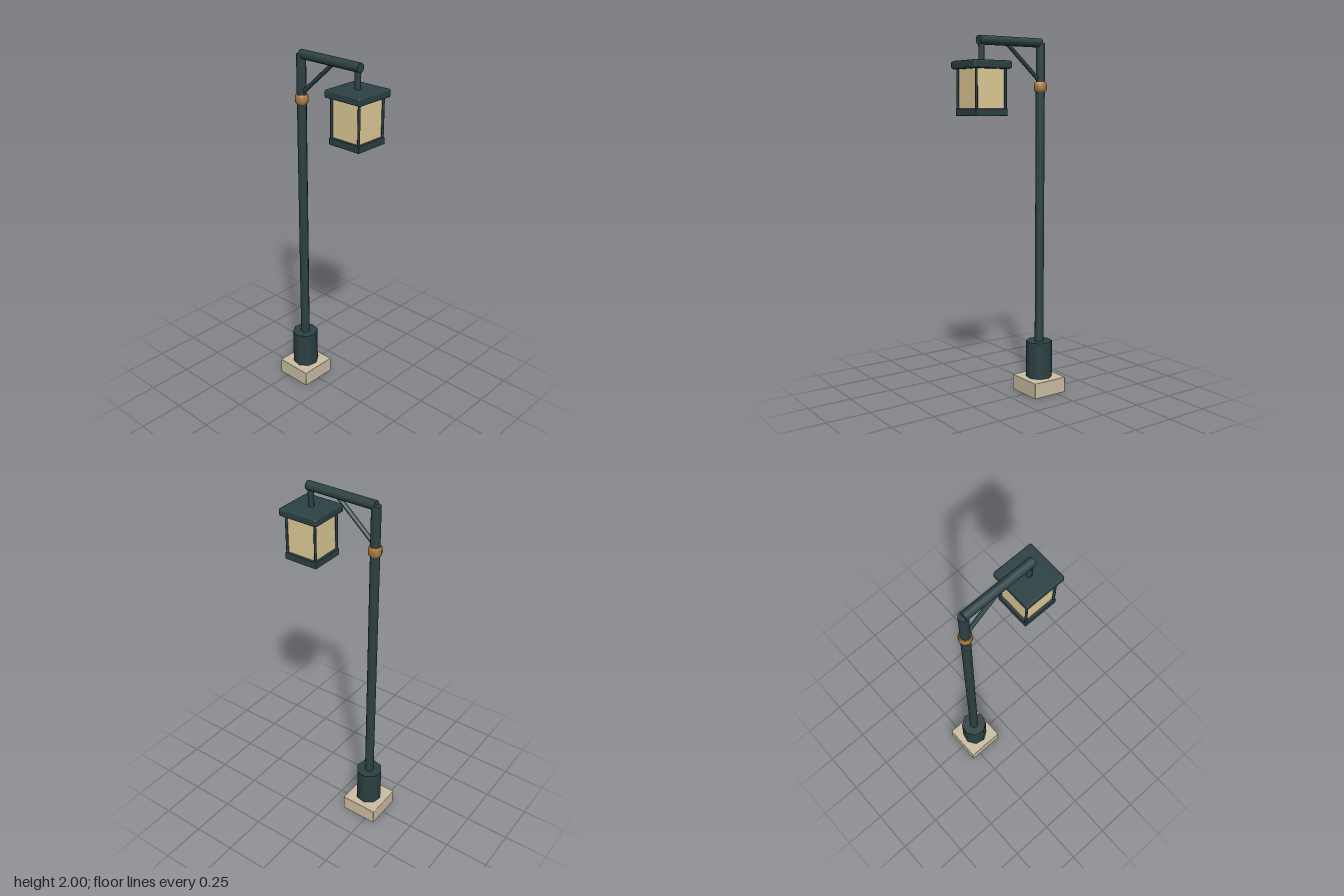
import * as THREE from 'three';
import { RoundedBoxGeometry } from 'three/addons/geometries/RoundedBoxGeometry.js';
import { toCreasedNormals } from 'three/addons/utils/BufferGeometryUtils.js';

const iron = new THREE.MeshStandardMaterial({ color: 0x2c4144 });
const stone = new THREE.MeshStandardMaterial({ color: 0xcbbea4 });
const bronze = new THREE.MeshStandardMaterial({ color: 0xb07c3e });
const glass = new THREE.MeshStandardMaterial({ color: 0xe0cb98 });

const POLE_X = -0.2, LAMP_X = 0.187;

export function createModel() {
  const model = new THREE.Group();

  const add = (parent, name, geometry, material, x, y, z = 0) => {
    const mesh = new THREE.Mesh(geometry, material);
    mesh.name = name;
    mesh.position.set(x, y, z);
    parent.add(mesh);
    return mesh;
  };

  // Box with a small chamfer on every edge, given by its bottom and top
  const slab = (parent, name, width, y0, y1, bevel, material, x) =>
    add(parent, name, new RoundedBoxGeometry(width, y1 - y0, width, 1, bevel), material, x, (y0 + y1) / 2);

  // Round bar between two points in the z = 0 plane
  const bar = (parent, name, x0, y0, x1, y1, radius, sides) => {
    const a = new THREE.Vector3(x0, y0, 0), b = new THREE.Vector3(x1, y1, 0);
    const geometry = new THREE.CylinderGeometry(radius, radius, a.distanceTo(b), sides);
    const mesh = add(parent, name, geometry, iron, (x0 + x1) / 2, (y0 + y1) / 2);
    mesh.quaternion.setFromUnitVectors(new THREE.Vector3(0, 1, 0), b.sub(a).normalize());
    return mesh;
  };

  // Footing and post
  slab(model, 'footing', 0.216, 0, 0.09, 0.004, stone, POLE_X);
  bar(model, 'sleeve', POLE_X, 0.085, POLE_X, 0.3, 0.075, 8).rotateY(0.2);
  bar(model, 'pole', POLE_X, 0.28, POLE_X, 1.975, 0.026, 10);

  // Bronze collar with bevelled rims
  const collarProfile = [[0.022, 1.714], [0.031, 1.714], [0.036, 1.724],
    [0.036, 1.754], [0.031, 1.764], [0.022, 1.764]].map(p => new THREE.Vector2(...p));
  add(model, 'collar', toCreasedNormals(new THREE.LatheGeometry(collarProfile, 8), 0.9), bronze, POLE_X, 0);

  // Arm, diagonal brace and hanger
  bar(model, 'arm', POLE_X, 1.975, 0.205, 1.975, 0.025, 10);
  bar(model, 'brace', -0.19, 1.775, 0.025, 1.965, 0.012, 8);
  bar(model, 'hanger', LAMP_X, 1.86, LAMP_X, 1.965, 0.016, 8);

  // Lantern
  const lantern = new THREE.Group();
  lantern.name = 'lantern';
  model.add(lantern);
  slab(lantern, 'lanternRoof', 0.234, 1.825, 1.868, 0.01, iron, LAMP_X);
  slab(lantern, 'lanternFloor', 0.198, 1.583, 1.621, 0.003, iron, LAMP_X);
  add(lantern, 'lanternGlass', new THREE.BoxGeometry(0.17, 0.215, 0.17), glass, LAMP_X, 1.722);
  for (const sx of [-1, 1]) for (const sz of [-1, 1]) {
    add(lantern, 'lanternPost', new THREE.CylinderGeometry(0.007, 0.007, 0.22, 6), iron,
      LAMP_X + sx * 0.09, 1.722, sz * 0.09);
  }

  return model;
}
